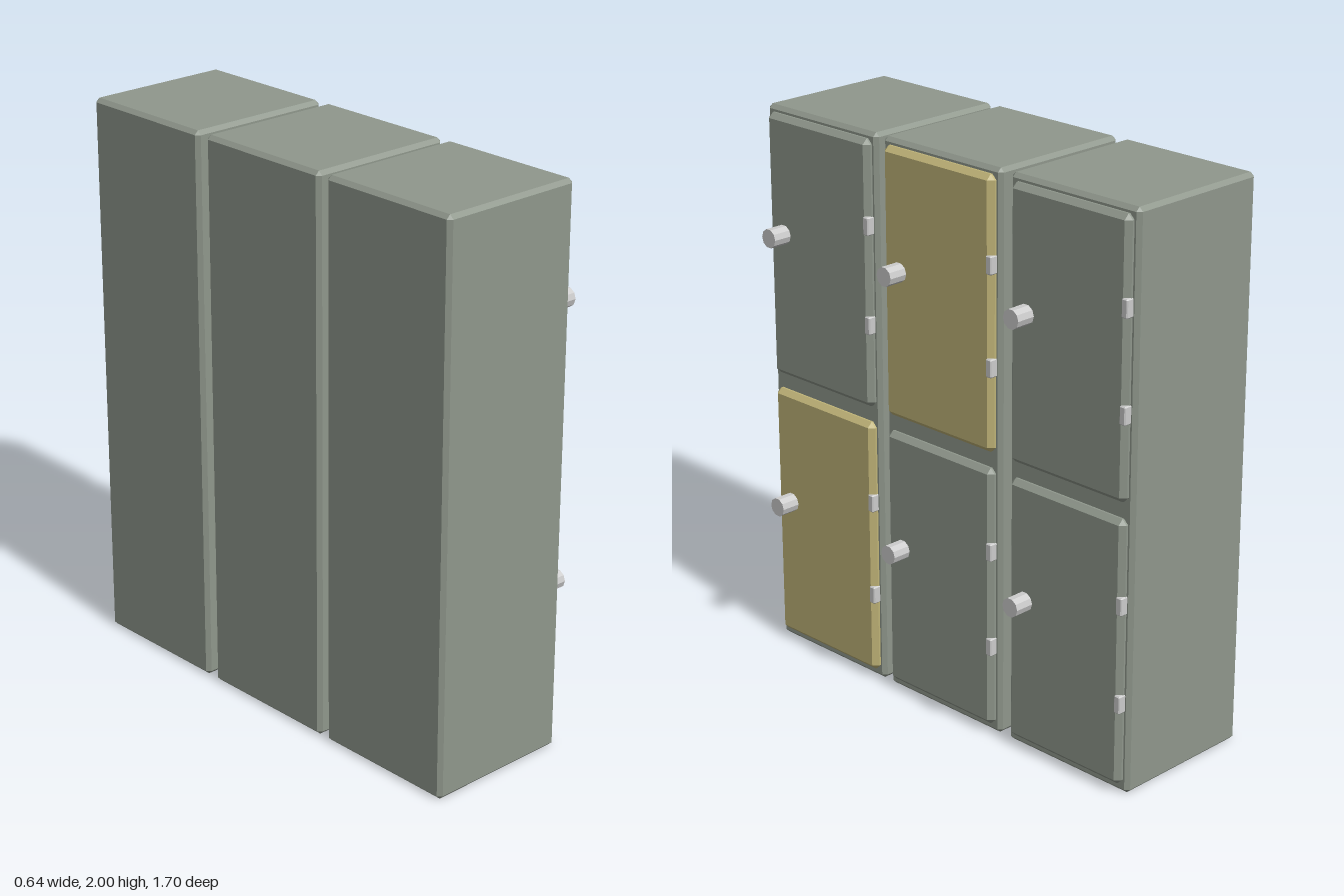
import * as THREE from 'three';
import { ConvexGeometry } from 'three/addons/geometries/ConvexGeometry.js';

// Box with flat 45 degree chamfers on every edge
function chamferBox(w, h, d, c) {
  const half = [w / 2, h / 2, d / 2];
  const points = [];
  for (const sx of [-1, 1]) for (const sy of [-1, 1]) for (const sz of [-1, 1]) {
    for (let axis = 0; axis < 3; axis++) {
      const p = half.map((v, i) => (i === axis ? v : v - c));
      points.push(new THREE.Vector3(p[0] * sx, p[1] * sy, p[2] * sz));
    }
  }
  return new ConvexGeometry(points);
}

const paint = (color) => new THREE.MeshStandardMaterial({ color, flatShading: true });

export function createModel() {
  const group = new THREE.Group();
  group.name = 'lockers';
  const green = paint(0x8f978c), yellow = paint(0xc0b478), metal = paint(0xbfbcbf);

  const bodyGeo = chamferBox(0.545, 2, 0.545, 0.014);
  const doorGeo = chamferBox(0.06, 0.944, 0.504, 0.018);
  const knobGeo = new THREE.CylinderGeometry(0.034, 0.034, 0.08, 10).rotateZ(-Math.PI / 2);
  const hingeGeo = chamferBox(0.04, 0.064, 0.026, 0.004);

  const add = (parent, name, geo, mat, x, y, z) => {
    const mesh = new THREE.Mesh(geo, mat);
    mesh.name = name;
    mesh.position.set(x, y, z);
    parent.add(mesh);
  };

  // Three cabinets side by side, each with a lower and an upper door
  const cabinets = [
    { z: 0.578, yellowDoor: 0 },
    { z: 0.003, yellowDoor: 1 },
    { z: -0.58, yellowDoor: -1 },
  ];
  for (const { z, yellowDoor } of cabinets) {
    const cabinet = new THREE.Group();
    cabinet.name = 'cabinet';
    cabinet.position.z = z;
    group.add(cabinet);
    add(cabinet, 'cabinetBody', bodyGeo, green, -0.0475, 1, 0);

    for (let row = 0; row < 2; row++) {
      const door = new THREE.Group();
      door.name = row ? 'upperDoor' : 'lowerDoor';
      door.position.y = row * 1.002;
      cabinet.add(door);
      add(door, 'doorPanel', doorGeo, row === yellowDoor ? yellow : green, 0.22, 0.504, 0);
      add(door, 'knob', knobGeo, metal, 0.28, 0.558, 0.174);
      for (const y of [0.33, 0.68]) add(door, 'hinge', hingeGeo, metal, 0.233, y, -0.242);
    }
  }
  return group;
}
